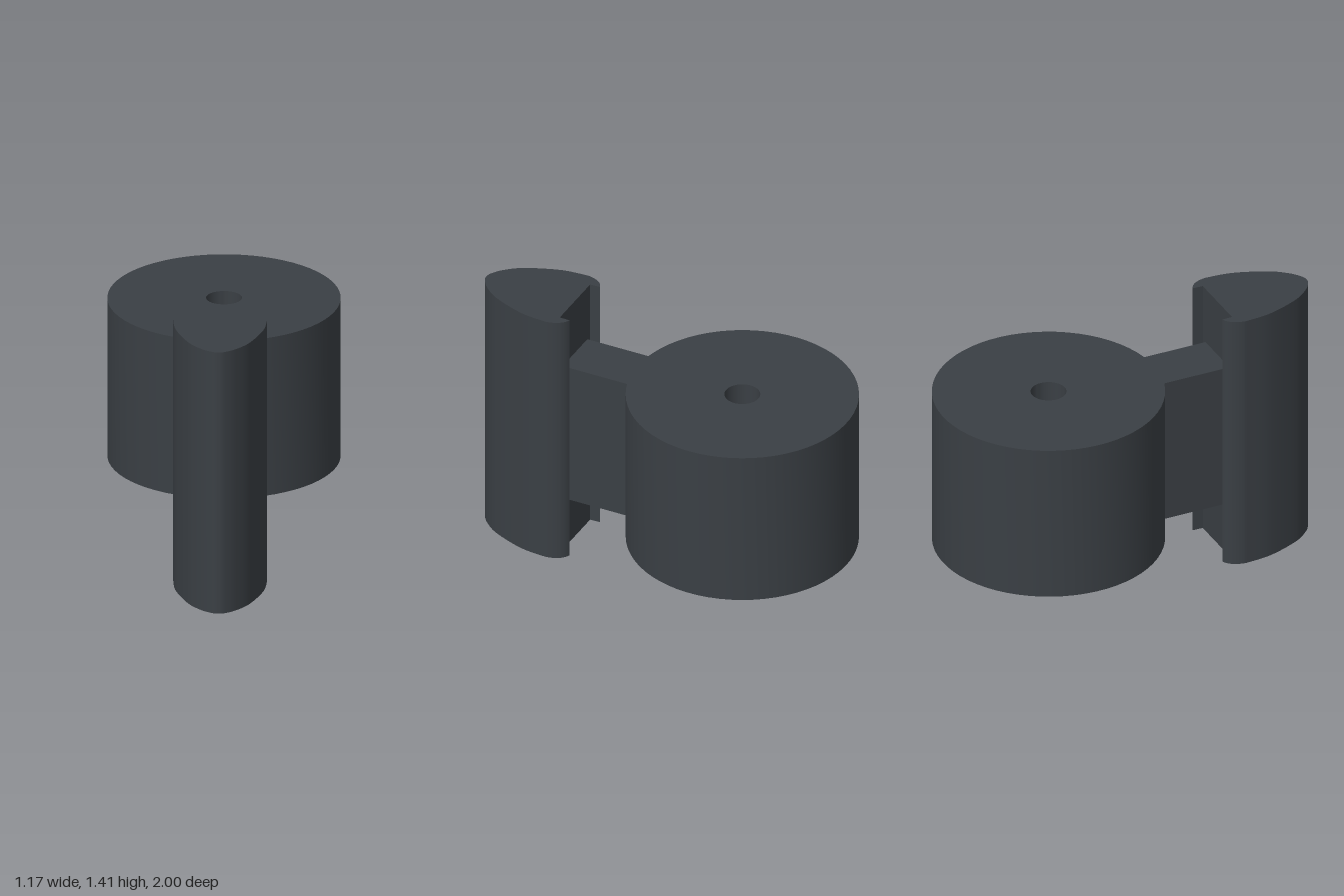
import * as THREE from 'three';
import { toCreasedNormals } from 'three/addons/utils/BufferGeometryUtils.js';

const material = new THREE.MeshStandardMaterial({ color: 0x3a3f44 });

// Extrudes a plan outline (shape y becomes z) upward between two heights.
function upright(name, shape, y0, y1) {
  let geo = new THREE.ExtrudeGeometry(shape, {
    depth: y1 - y0, bevelEnabled: false, curveSegments: 32,
  });
  geo.rotateX(Math.PI / 2);
  geo.translate(0, y1, 0);
  geo = toCreasedNormals(geo, Math.PI / 7);
  const mesh = new THREE.Mesh(geo, material);
  mesh.name = name;
  return mesh;
}

export function createModel() {
  const model = new THREE.Group();
  model.name = 'drumWithPointedHandle';

  // Everything is laid out from the drum's axis
  const assembly = new THREE.Group();
  assembly.name = 'assembly';
  assembly.position.z = -0.415;
  model.add(assembly);

  // Drum with a bore through its centre
  const disc = new THREE.Shape().absarc(0, 0, 0.585, 0, Math.PI * 2, false);
  disc.holes.push(new THREE.Path().absarc(0, 0, 0.09, 0, Math.PI * 2, true));
  assembly.add(upright('drum', disc, 0.28, 1.13));

  // Arm and handle swing slightly off the front axis
  const swing = new THREE.Group();
  swing.name = 'armAndHandle';
  swing.rotation.y = -THREE.MathUtils.degToRad(9.8);
  assembly.add(swing);

  // Flat connecting arm, rooted inside the drum
  const arm = new THREE.Mesh(new THREE.BoxGeometry(0.275, 0.79, 0.395), material);
  arm.name = 'arm';
  arm.position.set(0, 0.705, 0.7475);
  swing.add(arm);

  // Handle: pointed front curve, two curled lips and a flat-bottomed recess
  const side = [[0.22, 1.13], [0.155, 1.3], [0.09, 1.387], [0.035, 1.428]];
  const nose = [
    ...side.map(([x, z]) => new THREE.Vector2(x, z)),
    new THREE.Vector2(0, 1.437),
    ...side.map(([x, z]) => new THREE.Vector2(-x, z)).reverse(),
    new THREE.Vector2(-0.236, 0.985),
  ];
  const handle = new THREE.Shape()
    .moveTo(0.168, 0.94)
    .lineTo(0.17, 0.885)
    .quadraticCurveTo(0.225, 0.905, 0.236, 0.985)
    .splineThru(nose)
    .quadraticCurveTo(-0.225, 0.905, -0.17, 0.885)
    .lineTo(-0.168, 0.94)
    .closePath();
  swing.add(upright('handle', handle, 0, 1.41));

  return model;
}
